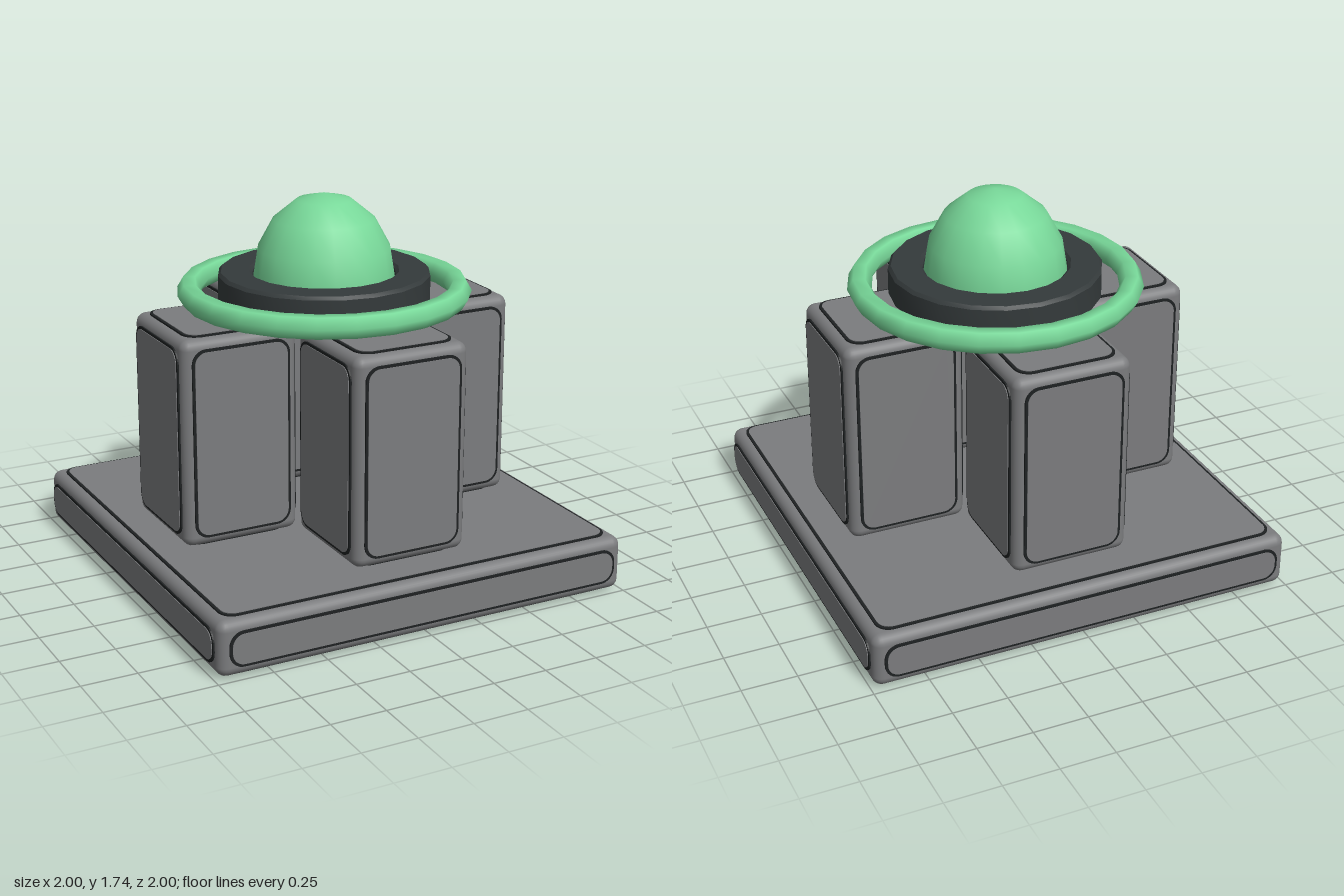
import * as THREE from 'three';
import { RoundedBoxGeometry } from 'three/addons/geometries/RoundedBoxGeometry.js';
import { toCreasedNormals } from 'three/addons/utils/BufferGeometryUtils.js';

const material = (name, color) => {
  const m = new THREE.MeshStandardMaterial({ color });
  m.name = name;
  return m;
};
const stone = material('grey stone', 0x7b7c7e);
const groove = material('black groove', 0x1e2122);
const metal = material('dark metal', 0x343a3b);
const glow = material('green glow', 0x78d899);

function mesh(name, geometry, mat, parent) {
  const m = new THREE.Mesh(geometry, mat);
  m.name = name;
  parent.add(m);
  return m;
}

// Thin plate with rounded corners, facing +z
function plate(w, h, r, depth) {
  const s = new THREE.Shape();
  const x = w / 2, y = h / 2;
  s.absarc(x - r, y - r, r, 0, Math.PI / 2);
  s.absarc(-x + r, y - r, r, Math.PI / 2, Math.PI);
  s.absarc(-x + r, -y + r, r, Math.PI, Math.PI * 1.5);
  s.absarc(x - r, -y + r, r, Math.PI * 1.5, Math.PI * 2);
  s.closePath();
  return new THREE.ExtrudeGeometry(s, { depth, bevelEnabled: false, curveSegments: 4 });
}

// Rounded block with an outlined panel on each of its six sides
function panelBlock(name, w, h, d, margin) {
  const block = new THREE.Group();
  block.name = name;
  mesh(name + 'Body', new RoundedBoxGeometry(w, h, d, 3, 0.045), stone, block);
  const sides = [
    [w, h, d, 0, 0], [w, h, d, 0, Math.PI],
    [d, h, w, 0, Math.PI / 2], [d, h, w, 0, -Math.PI / 2],
    [w, d, h, -Math.PI / 2, 0], [w, d, h, Math.PI / 2, 0],
  ];
  for (const [pw, ph, depth, rx, ry] of sides) {
    const panel = new THREE.Group();
    panel.name = name + 'Panel';
    panel.rotation.set(rx, ry, 0);
    const a = pw - 2 * margin, b = ph - 2 * margin;
    mesh('panelOutline', plate(a, b, 0.065, 0.009), groove, panel).position.z = depth / 2 - 0.002;
    mesh('panelFace', plate(a - 0.024, b - 0.024, 0.055, 0.006), stone, panel).position.z = depth / 2 + 0.004;
    block.add(panel);
  }
  return block;
}

export function createModel() {
  const model = new THREE.Group();
  model.name = 'orbPedestal';

  // Square base
  const base = panelBlock('base', 1.98, 0.25, 1.98, 0.045);
  base.position.y = 0.135;
  model.add(base);

  // Four pillars in a cross
  for (let i = 0; i < 4; i++) {
    const angle = (i * Math.PI) / 2;
    const pillar = panelBlock('pillar', 0.546, 0.945, 0.546, 0.042);
    pillar.position.set(Math.sin(angle) * 0.543, 0.752, Math.cos(angle) * 0.543);
    model.add(pillar);
  }

  // Dark collar under the dome
  const profile = [
    [0.325, 1.24], [0.465, 1.24], [0.48, 1.255], [0.48, 1.37],
    [0.467, 1.385], [0.34, 1.385], [0.325, 1.37], [0.325, 1.24],
  ].map(([x, y]) => new THREE.Vector2(x, y));
  mesh('collar', toCreasedNormals(new THREE.LatheGeometry(profile, 20), 0.6), metal, model);

  // Stretched dome
  const dome = mesh('dome', new THREE.SphereGeometry(1, 20, 4, 0, Math.PI * 2, 0, Math.PI / 2), glow, model);
  dome.scale.set(0.325, 0.4, 0.325);
  dome.position.y = 1.335;
  const floor = mesh('domeFloor', new THREE.CircleGeometry(0.325, 20), metal, model);
  floor.rotation.x = Math.PI / 2;
  floor.position.y = 1.25;

  // Floating halo with a six-sided section
  const halo = mesh('halo', new THREE.TorusGeometry(0.61, 0.055, 6, 24), glow, model);
  halo.rotation.x = Math.PI / 2;
  halo.position.y = 1.293;

  return model;
}
